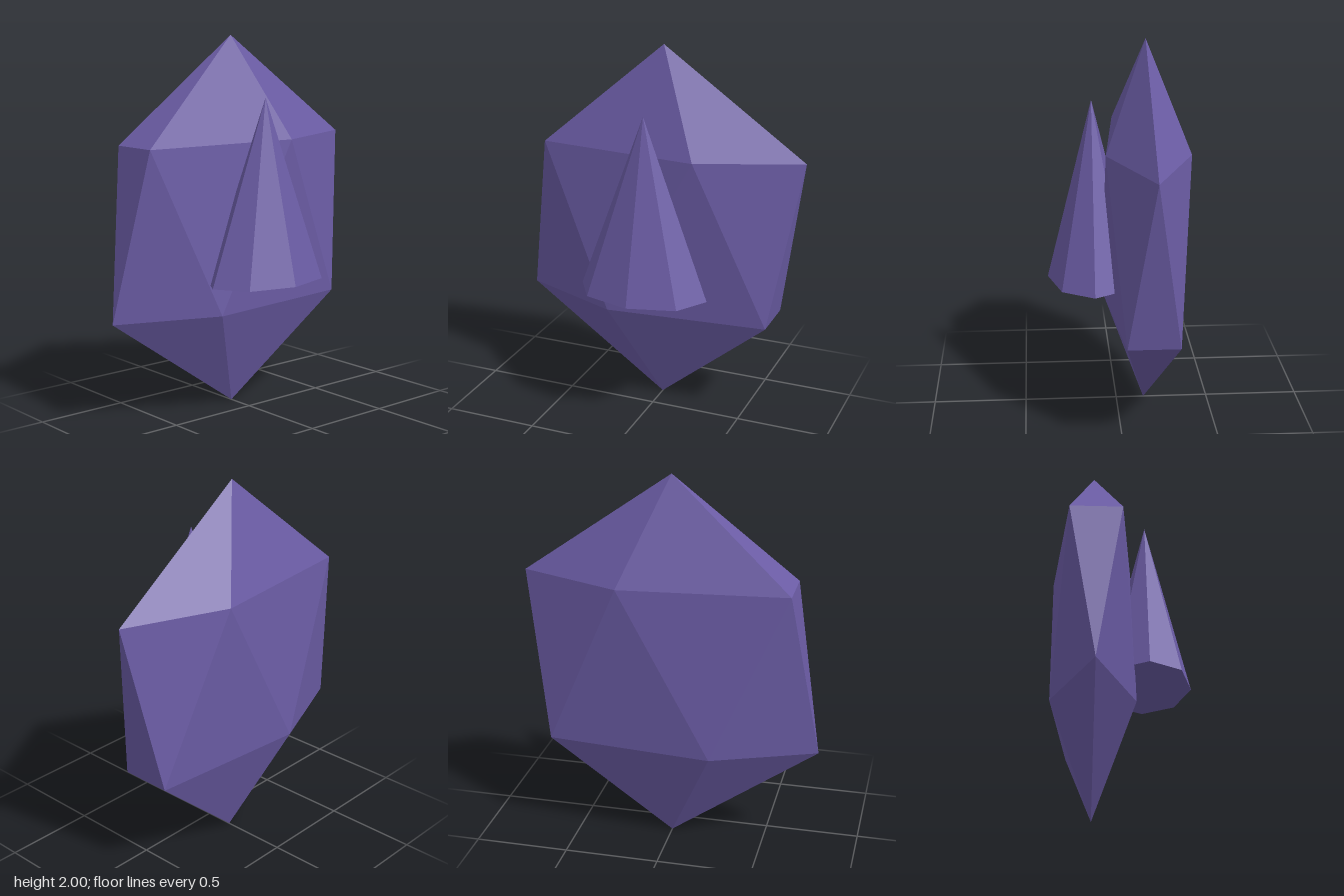
import * as THREE from 'three';
import { ConvexGeometry } from 'three/addons/geometries/ConvexGeometry.js';

// Five points of one icosahedron ring; dir = 1 for upper, -1 for lower
function ring(dir) {
  const points = [];
  for (let i = 0; i < 5; i++) {
    const a = (i * Math.PI * 2) / 5;
    points.push(new THREE.Vector3(dir * 0.785 * Math.cos(a), dir * 0.447, dir * 0.23 * Math.sin(a)));
  }
  return points;
}

export function createModel() {
  const group = new THREE.Group();
  group.name = 'crystal';
  const violet = new THREE.MeshStandardMaterial({ color: 0x6b5ca5, flatShading: true });
  violet.name = 'violet';

  // Flattened icosahedron slab
  const body = new THREE.Mesh(
    new ConvexGeometry([
      new THREE.Vector3(0, 1, 0),
      ...ring(1),
      ...ring(-1),
      new THREE.Vector3(0, -1, 0),
    ]),
    violet
  );
  body.name = 'crystalBody';
  body.position.set(0, 1, -0.15);
  group.add(body);

  // Eight-sided spike on the front, flattened in depth
  const spike = new THREE.Mesh(new THREE.ConeGeometry(0.357, 0.96, 8), violet);
  spike.name = 'frontSpike';
  spike.scale.z = 0.665;
  spike.position.set(0, 1.205, 0.13);
  group.add(spike);

  return group;
}
